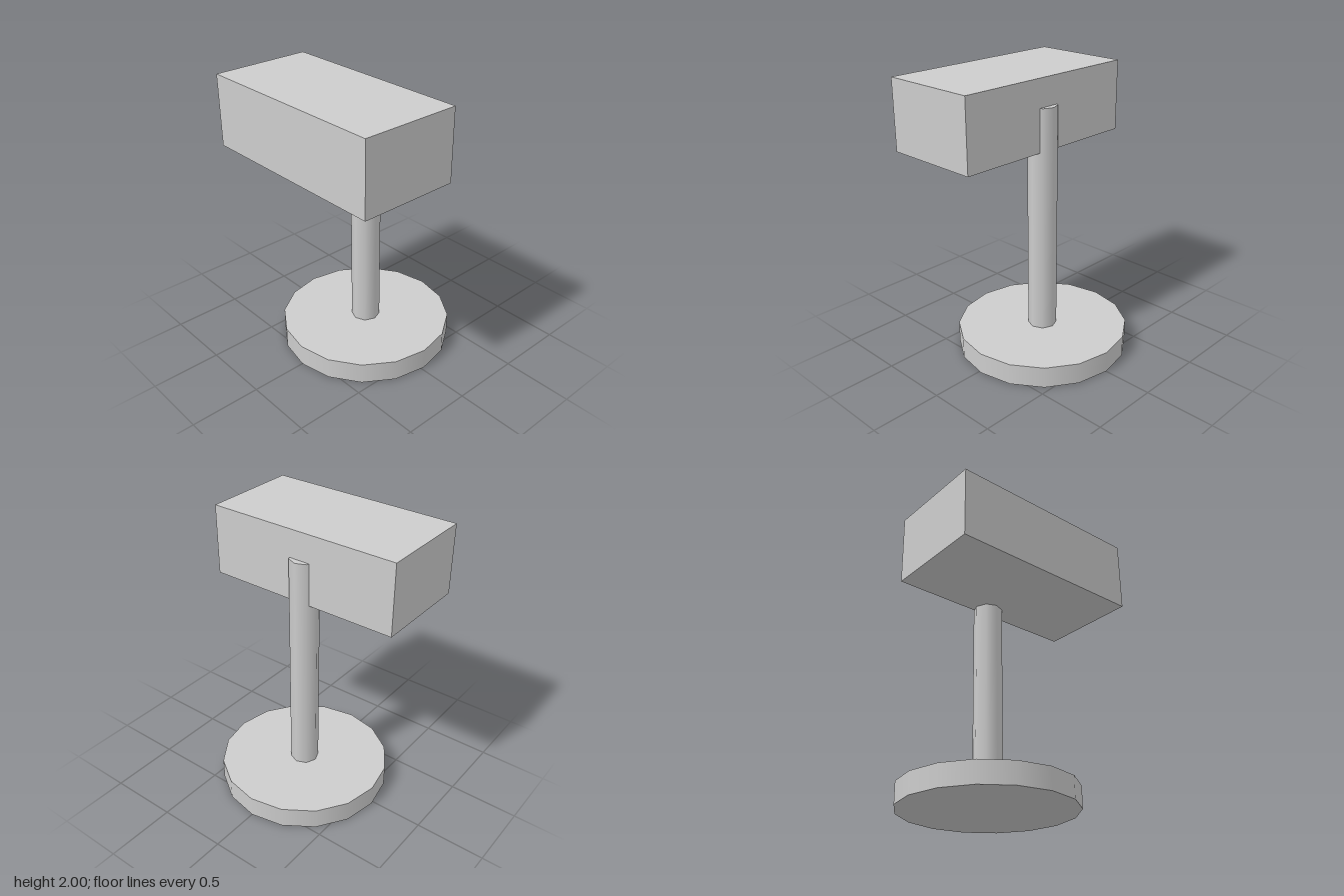
import * as THREE from 'three';

export function createModel() {
  const group = new THREE.Group();
  const grey = new THREE.MeshStandardMaterial({ color: 0xcccccc });
  grey.name = 'grey';

  const add = (name, geometry, y, z) => {
    const mesh = new THREE.Mesh(geometry, grey);
    mesh.name = name;
    mesh.position.set(0, y, z);
    group.add(mesh);
  };

  // Round foot and post share one axis, slightly behind centre
  const axisZ = -0.023;
  add('base', new THREE.CylinderGeometry(0.617, 0.617, 0.154, 16), 0.077, axisZ);
  add('post', new THREE.CylinderGeometry(0.103, 0.103, 1.646, 8), 0.977, axisZ);

  // Box head, set forward so the post shows behind it
  add('head', new THREE.BoxGeometry(1.436, 0.506, 0.718), 1.747, 0.282);

  return group;
}
